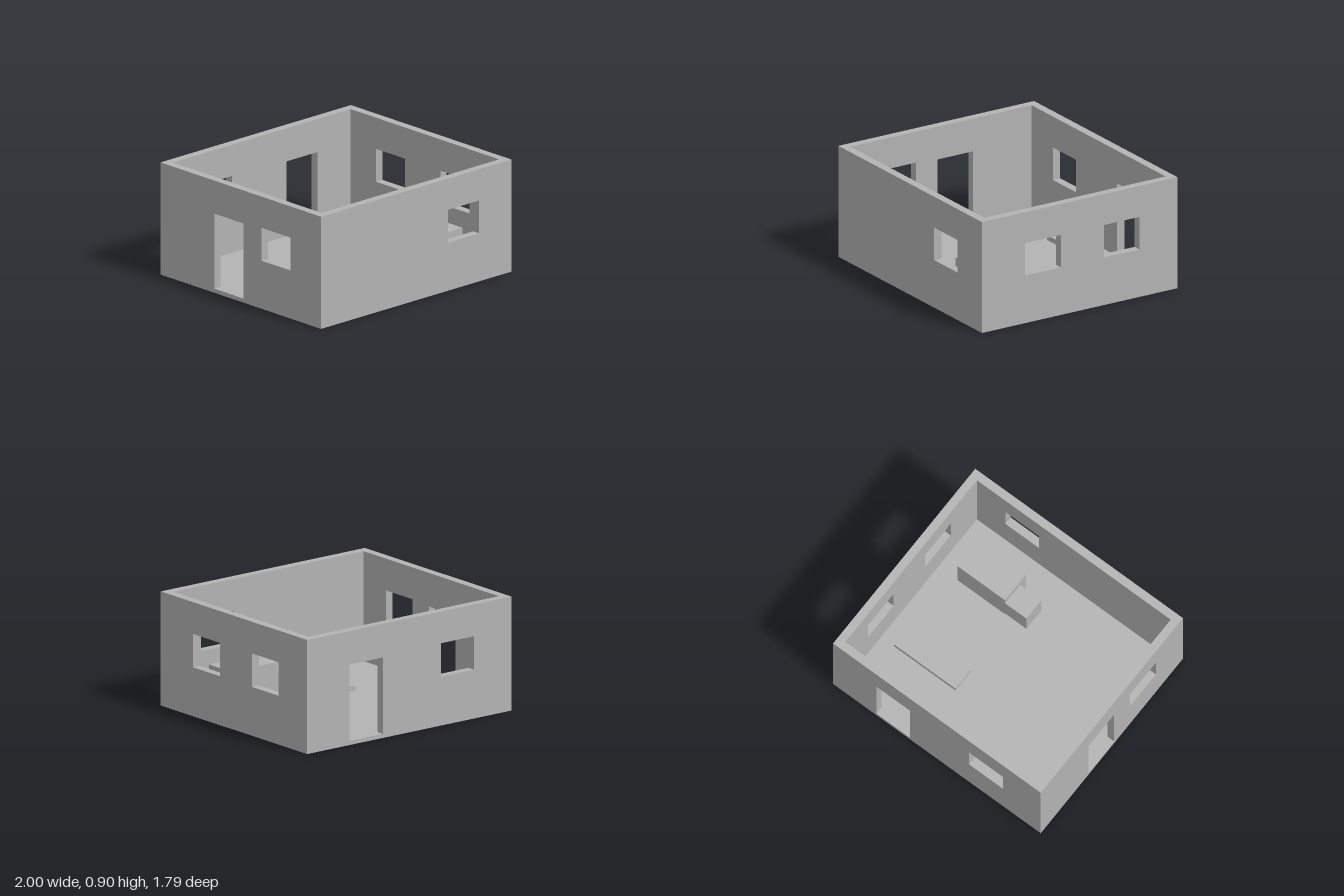
import * as THREE from 'three';

const W = 2, D = 1.79, H = 0.905, T = 0.067; // outer size and wall thickness
const FLOOR = 0.033;
const SILL = 0.388, HEAD = 0.653, DOOR_TOP = 0.638;

// Wall panel spanning a..b, with rectangular openings [from, to, bottom, top]
function wallGeometry(a, b, openings) {
  const shape = new THREE.Shape([[a, 0], [b, 0], [b, H], [a, H]].map(p => new THREE.Vector2(...p)));
  for (const [u0, u1, v0, v1] of openings) {
    shape.holes.push(new THREE.Path([[u0, v0], [u0, v1], [u1, v1], [u1, v0]].map(p => new THREE.Vector2(...p))));
  }
  return new THREE.ExtrudeGeometry(shape, { depth: T, bevelEnabled: false });
}

export function createModel() {
  const group = new THREE.Group();
  const grey = new THREE.MeshStandardMaterial({ color: 0xb3b3b3 });
  grey.name = 'plain grey';

  const add = (name, geometry) => {
    const mesh = new THREE.Mesh(geometry, grey);
    mesh.name = name;
    group.add(mesh);
    return mesh;
  };
  const block = (name, [x0, x1], [y0, y1], [z0, z1]) =>
    add(name, new THREE.BoxGeometry(x1 - x0, y1 - y0, z1 - z0))
      .position.set((x0 + x1) / 2, (y0 + y1) / 2, (z0 + z1) / 2);

  const windowAt = (from, to) => [from, to, SILL, HEAD];
  const doorAt = (from, to) => [from, to, FLOOR, DOOR_TOP];
  const hx = W / 2, hz = D / 2, ix = hx - T, iz = hz - T;

  // Front and back walls run the full width
  add('frontWall', wallGeometry(-hx, hx, [windowAt(0.335, 0.66)])).position.z = iz;
  add('backWall', wallGeometry(-hx, hx, [doorAt(0.258, 0.583), windowAt(-0.635, -0.31)])).position.z = -hz;

  // Side walls fit between them; the panel's own axis runs along -z after turning
  const side = (name, x, openings) => {
    const flipped = openings.map(([z0, z1, y0, y1]) => [-z1, -z0, y0, y1]);
    const mesh = add(name, wallGeometry(-iz, iz, flipped));
    mesh.rotation.y = Math.PI / 2;
    mesh.position.x = x;
  };
  side('leftWall', ix, [windowAt(0.173, 0.5), windowAt(-0.545, -0.22)]);
  side('rightWall', -hx, [doorAt(-0.295, 0.03), windowAt(0.23, 0.555)]);

  // Floor slab inside the walls
  block('floor', [-ix, ix], [0, FLOOR], [-iz, iz]);

  // Furniture
  block('tallBlock', [0.295, 0.75], [FLOOR, 0.343], [0.345, 0.615]);
  block('lowBlock', [0.09, 0.295], [FLOOR, 0.262], [0.35, 0.54]);
  block('shelfSlab', [0.165, 0.755], [0.265, 0.305], [-0.445, -0.25]);

  return group;
}
